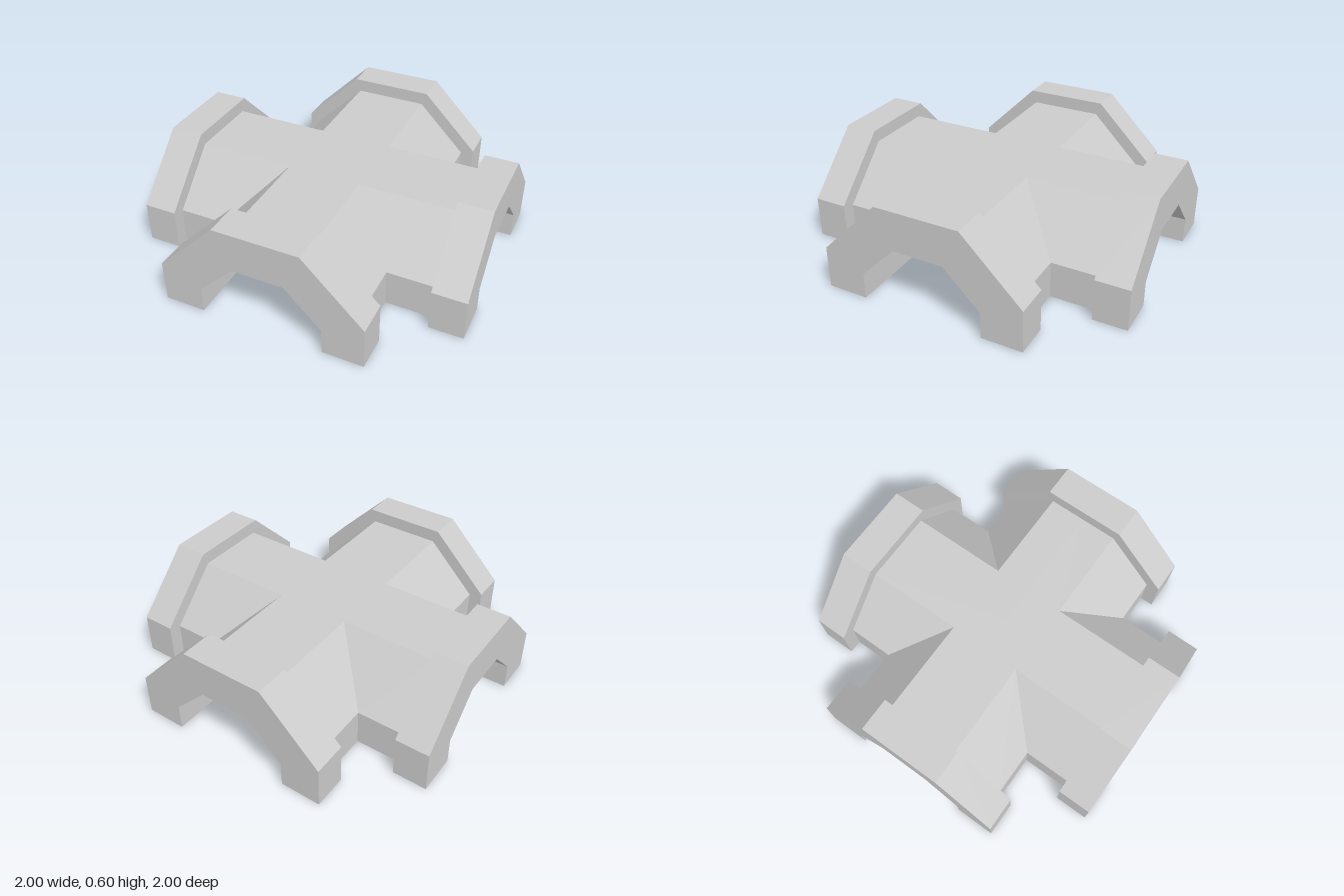
import * as THREE from 'three';

const material = new THREE.MeshStandardMaterial({ color: 0xcccccc, flatShading: true, side: THREE.DoubleSide });

const ARM_END = 0.8;  // where the vault meets the end arch
const ARCH_DEPTH = 0.2;

// Right half of each profile, from the foot up to the crown
const opening = [[0.36, 0], [0.36, 0.155], [0.15, 0.365]];
const vaultOuter = [[0.52, 0], [0.52, 0.22], [0.22, 0.52]];
const archOuter = [[0.6, 0], [0.6, 0.25], [0.25, 0.6]];

const mirror = (half) => half.map(([x, y]) => [-x, y]).reverse();

// One arm of the cross vault: its profile runs from the arch to the 45 degree mitre
function vaultArmGeometry() {
  const profile = [
    ...vaultOuter, [0, 0.52], ...mirror(vaultOuter),
    ...mirror(opening).reverse(), [0, 0.365], ...[...opening].reverse(),
  ];
  const positions = [];
  profile.forEach(([ax, ay], i) => {
    const [bx, by] = profile[(i + 1) % profile.length];
    const aEnd = [ax, ay, ARM_END], bEnd = [bx, by, ARM_END];
    const aMitre = [ax, ay, Math.abs(ax)], bMitre = [bx, by, Math.abs(bx)];
    positions.push(...aEnd, ...aMitre, ...bMitre, ...aEnd, ...bMitre, ...bEnd);
  });
  const geometry = new THREE.BufferGeometry();
  geometry.setAttribute('position', new THREE.Float32BufferAttribute(positions, 3));
  geometry.computeVertexNormals();
  return geometry;
}

// Thicker arch that closes each arm
function endArchGeometry() {
  const outline = [...archOuter, ...mirror(archOuter), ...mirror(opening).reverse(), ...[...opening].reverse()];
  const shape = new THREE.Shape(outline.map(([x, y]) => new THREE.Vector2(x, y)));
  return new THREE.ExtrudeGeometry(shape, { depth: ARCH_DEPTH, bevelEnabled: false }).translate(0, 0, ARM_END);
}

export function createModel() {
  const model = new THREE.Group();
  model.name = 'crossVault';
  const vaultGeometry = vaultArmGeometry();
  const archGeometry = endArchGeometry();

  // Four identical arms around the centre
  ['front', 'left', 'back', 'right'].forEach((side, i) => {
    const arm = new THREE.Group();
    arm.name = `${side}Arm`;
    const vault = new THREE.Mesh(vaultGeometry, material);
    vault.name = `${side}Vault`;
    const arch = new THREE.Mesh(archGeometry, material);
    arch.name = `${side}Arch`;
    arm.add(vault, arch);
    arm.rotation.y = (i * Math.PI) / 2;
    model.add(arm);
  });
  return model;
}
